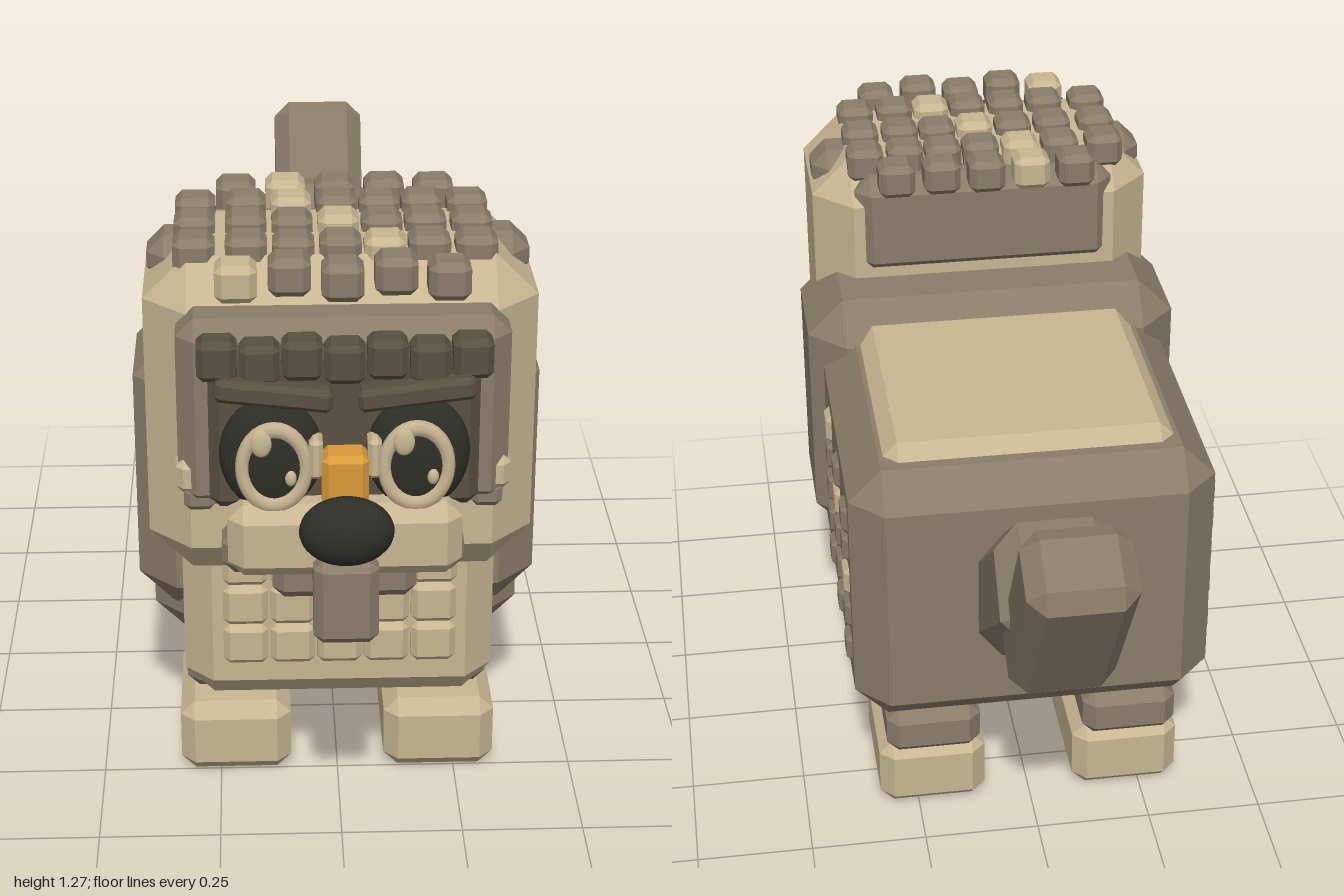
import * as THREE from 'three';
import { ConvexGeometry } from 'three/addons/geometries/ConvexGeometry.js';

const material = (name, color) => {
  const m = new THREE.MeshStandardMaterial({ color });
  m.name = name;
  return m;
};

// Box with all edges and corners cut off
function chamferBox(w, h, d, c) {
  const pts = [];
  for (const x of [-1, 1]) for (const y of [-1, 1]) for (const z of [-1, 1]) {
    const X = w / 2, Y = h / 2, Z = d / 2;
    pts.push(
      new THREE.Vector3(x * X, y * (Y - c), z * (Z - c)),
      new THREE.Vector3(x * (X - c), y * Y, z * (Z - c)),
      new THREE.Vector3(x * (X - c), y * (Y - c), z * Z));
  }
  return new ConvexGeometry(pts);
}

export function createModel() {
  const cream = material('cream', 0xc8b692);
  const brown = material('brown', 0x8a7c69);
  const dark = material('dark brown', 0x595040);
  const black = material('black', 0x2e2f28);
  const orange = material('orange', 0xd9993a);
  const model = new THREE.Group();
  model.name = 'blockDog';

  const section = (name) => {
    const g = new THREE.Group();
    g.name = name;
    model.add(g);
    return g;
  };
  const add = (parent, name, geometry, mat, x, y, z) => {
    const m = new THREE.Mesh(geometry, mat);
    m.name = name;
    m.position.set(x, y, z);
    parent.add(m);
    return m;
  };
  // Chamfered block given by its ranges
  const block = (parent, name, mat, [x0, x1], [y0, y1], [z0, z1], c) =>
    add(parent, name, chamferBox(x1 - x0, y1 - y0, z1 - z0, c), mat, (x0 + x1) / 2, (y0 + y1) / 2, (z0 + z1) / 2);
  const ball = (parent, name, mat, x, y, z, rx, ry, rz) => {
    const m = add(parent, name, new THREE.SphereGeometry(1, 28, 18), mat, x, y, z);
    m.scale.set(rx, ry, rz);
    return m;
  };

  // Torso
  const body = section('body');
  block(body, 'torso', brown, [-0.385, 0.385], [0.28, 0.9], [-0.47, 0.45], 0.07);
  block(body, 'backPanel', cream, [-0.31, 0.31], [0.8, 0.93], [-0.38, 0.2], 0.035);
  block(body, 'shoulders', brown, [-0.415, 0.415], [0.365, 0.975], [0.12, 0.5], 0.08);
  block(body, 'chest', cream, [-0.32, 0.32], [0.22, 0.72], [0.36, 0.6], 0.06);

  // Chest tiles
  const tile = chamferBox(0.092, 0.09, 0.06, 0.013);
  for (let c = -2; c <= 2; c++) for (let r = 0; r < 3; r++) {
    add(body, 'chestTile', tile, cream, c * 0.096, 0.375 + r * 0.091, 0.595);
  }

  // Flank tiles, one cream in each column
  const flankTile = chamferBox(0.06, 0.07, 0.07, 0.013);
  for (const s of [-1, 1]) {
    [0.03, -0.16, -0.335].forEach((z, c) => [0.76, 0.69, 0.605, 0.52, 0.43].forEach((y, r) => {
      add(body, 'flankTile', flankTile, r === c ? cream : brown, s * 0.367, y, z);
    }));
  }

  // Legs
  const legs = section('legs');
  const paw = chamferBox(0.235, 0.165, 0.32, 0.03);
  const cuff = chamferBox(0.205, 0.11, 0.23, 0.025);
  const shin = chamferBox(0.15, 0.18, 0.17, 0.025);
  for (const s of [-1, 1]) for (const [pz, cz, tz] of [[0.363, 0.345, 0.33], [-0.23, -0.31, -0.27]]) {
    add(legs, 'paw', paw, cream, s * 0.217, 0.0835, pz);
    add(legs, 'cuff', cuff, brown, s * 0.217, 0.228, cz);
    add(legs, 'shin', shin, brown, s * 0.217, 0.29, tz);
  }

  // Tail
  const tail = section('tail');
  add(tail, 'tailBase', chamferBox(0.25, 0.24, 0.54, 0.05), brown, 0, 0.69, -0.565).rotation.x = 0.68;
  add(tail, 'tailTip', chamferBox(0.215, 0.175, 0.47, 0.035), brown, 0, 0.825, -0.835).rotation.x = 1.0;

  // Head
  const head = section('head');
  block(head, 'skull', cream, [-0.38, 0.38], [0.57, 1.235], [0.3, 0.72], 0.085);
  block(head, 'backHair', brown, [-0.29, 0.29], [0.98, 1.215], [0.285, 0.42], 0.035);
  block(head, 'faceFrame', brown, [-0.315, 0.315], [0.78, 1.165], [0.68, 0.81], 0.035);
  block(head, 'facePanel', dark, [-0.255, 0.255], [0.795, 1.125], [0.75, 0.835], 0.02);
  for (const s of [-1, 1]) {
    add(head, 'ear', chamferBox(0.11, 0.1, 0.13, 0.035), brown, s * 0.32, 1.18, 0.475);
    add(head, 'cheekTuft', chamferBox(0.07, 0.07, 0.07, 0.015), cream, s * 0.285, 0.845, 0.765);
    add(head, 'lowerCheekTuft', chamferBox(0.06, 0.05, 0.07, 0.012), brown, s * 0.275, 0.8, 0.765);
  }

  // Curls on the crown: z, x positions, index of the cream one
  const curl = chamferBox(0.08, 0.075, 0.08, 0.014);
  const five = [-0.2, -0.1, 0, 0.1, 0.2];
  const seven = [-0.28, -0.18, -0.09, 0, 0.085, 0.17, 0.26];
  for (const [z, xs, light] of [[0.28, five, 1], [0.375, seven, 2], [0.485, seven, 3], [0.605, seven, 4], [0.72, five, 0]]) {
    xs.forEach((x, i) => add(head, 'curl', curl, i === light ? cream : brown, x, i % 2 ? 1.232 : z > 0.7 ? 1.22 : 1.23, z));
  }

  // Fringe and brows
  const fringe = chamferBox(0.075, 0.078, 0.07, 0.012);
  for (let i = -3; i <= 3; i++) {
    add(head, 'fringe', fringe, dark, i * 0.079, i % 2 ? 1.11 : 1.102, 0.83);
  }
  for (const s of [-1, 1]) {
    add(head, 'brow', chamferBox(0.22, 0.045, 0.045, 0.01), dark, s * 0.132, 1.05, 0.865).rotation.z = s * 0.12;
  }

  // Eyes: dark mound, pale ring, pupil and two glints
  for (const s of [-1, 1]) {
    const x = s * 0.133;
    ball(head, 'eyeSocket', black, s * 0.138, 0.915, 0.835, 0.098, 0.117, 0.04);
    const ring = add(head, 'eyeRing', new THREE.TorusGeometry(0.82, 0.18, 8, 32), cream, x, 0.902, 0.871);
    ring.scale.set(0.073, 0.094, 0.06);
    ball(head, 'pupil', black, x, 0.902, 0.868, 0.055, 0.074, 0.012);
    ball(head, 'glint', cream, x - 0.024, 0.955, 0.88, 0.02, 0.027, 0.009);
    ball(head, 'smallGlint', cream, x + 0.031, 0.882, 0.877, 0.011, 0.016, 0.009);
    block(head, 'bridgeSide', cream, [s * 0.055 - 0.013, s * 0.055 + 0.013], [0.88, 0.96], [0.82, 0.885], 0.008);
  }

  // Muzzle, nose and beard
  block(head, 'noseBridge', orange, [-0.044, 0.044], [0.82, 0.93], [0.82, 0.895], 0.012);
  block(head, 'muzzle', cream, [-0.222, 0.222], [0.675, 0.825], [0.7, 0.9], 0.03);
  block(head, 'jaw', brown, [-0.235, 0.235], [0.63, 0.72], [0.68, 0.8], 0.025);
  block(head, 'chin', brown, [-0.138, 0.138], [0.615, 0.705], [0.72, 0.87], 0.022);
  block(head, 'beard', brown, [-0.062, 0.062], [0.56, 0.735], [0.87, 0.95], 0.018);
  ball(head, 'nose', black, 0, 0.805, 0.945, 0.089, 0.068, 0.053);

  return model;
}
